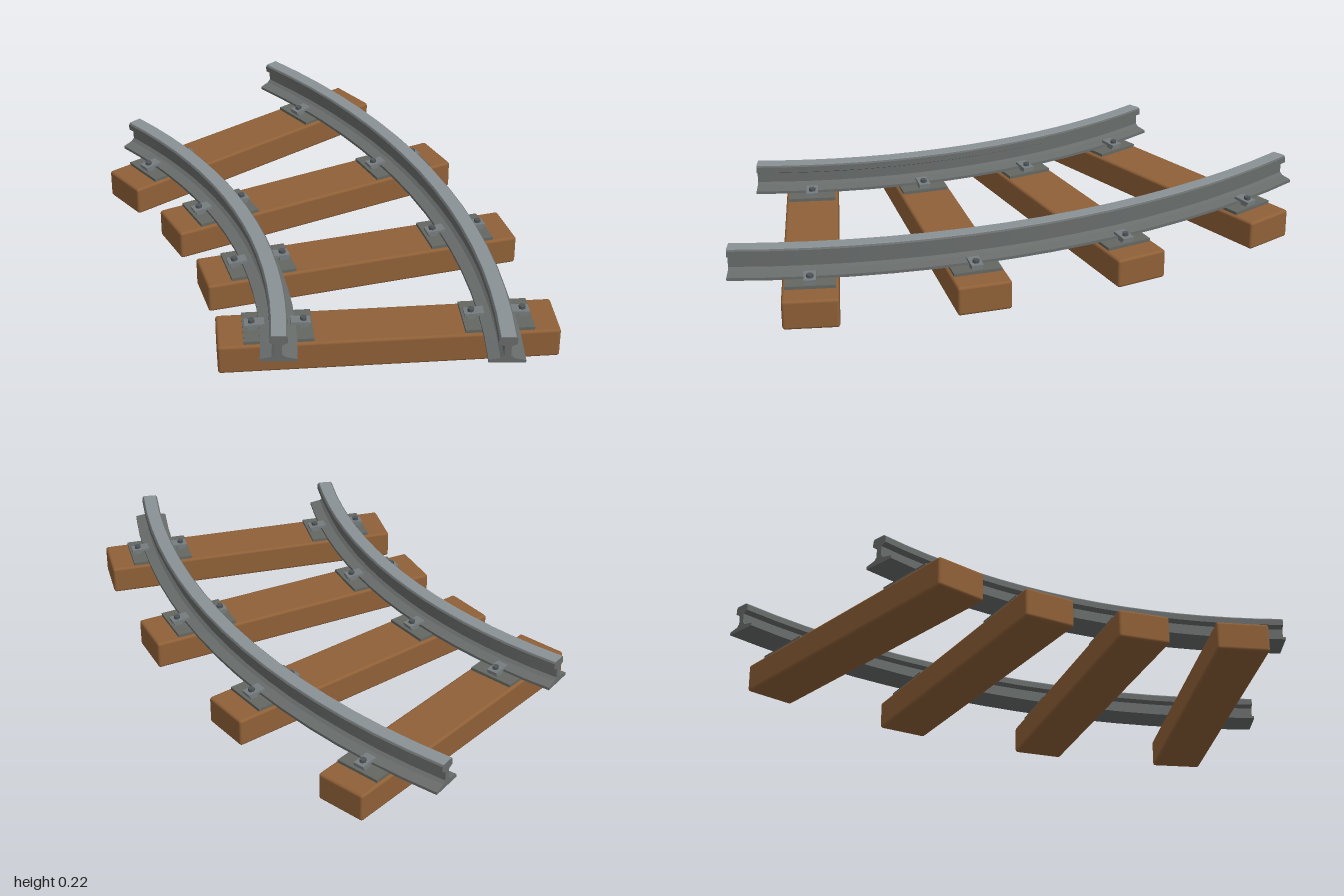
import * as THREE from 'three';
import { toCreasedNormals } from 'three/addons/utils/BufferGeometryUtils.js';
import { RoundedBoxGeometry } from 'three/addons/geometries/RoundedBoxGeometry.js';

const CENTER_X = -2.172, CENTER_Z = 1; // centre of the curve
const R_INNER = 2.043, R_OUTER = 2.77;
const SWEEP = Math.PI / 4;

const material = (name, color) => {
  const m = new THREE.MeshStandardMaterial({ color });
  m.name = name;
  return m;
};

// Extrude a mirrored half profile [offset, y], then bend it round the curve
function bentBar(half, radius) {
  const pts = [...half, ...half.slice().reverse().map(([x, y]) => [-x, y])];
  const shape = new THREE.Shape(pts.map(([x, y]) => new THREE.Vector2(x, y)));
  const geo = new THREE.ExtrudeGeometry(shape, { depth: 1, steps: 16, bevelEnabled: false });
  const p = geo.attributes.position;
  for (let i = 0; i < p.count; i++) {
    const r = radius + p.getX(i), a = (1 - p.getZ(i)) * SWEEP;
    p.setXYZ(i, CENTER_X + r * Math.cos(a), p.getY(i), CENTER_Z - r * Math.sin(a));
  }
  return toCreasedNormals(geo, 0.2);
}

export function createModel() {
  const wood = material('wood', 0x8f6037);
  const steel = material('rail steel', 0x686c6b);
  const polished = material('polished rail top', 0x8a9196);
  const iron = material('plate iron', 0x646762);
  const clipSteel = material('clip steel', 0x767c7e);
  const boltSteel = material('bolt steel', 0x50565a);

  const track = new THREE.Group();
  track.name = 'curvedTrack';
  const add = (parent, name, geo, mat, x = 0, y = 0, z = 0) => {
    const mesh = new THREE.Mesh(geo, mat);
    mesh.name = name;
    mesh.position.set(x, y, z);
    parent.add(mesh);
    return mesh;
  };

  // Rails: foot, thin web and chamfered head
  const railProfile = [[0.06, 0.115], [0.06, 0.125], [0.022, 0.133], [0.011, 0.143],
    [0.011, 0.178], [0.03, 0.187], [0.03, 0.208], [0.025, 0.213]];
  const crownProfile = [[0.025, 0.213], [0.0235, 0.215]];
  for (const [side, radius] of [['inner', R_INNER], ['outer', R_OUTER]]) {
    add(track, side + 'Rail', bentBar(railProfile, radius), steel);
    add(track, side + 'RailTop', bentBar(crownProfile, radius), polished);
  }

  // Sleepers with plates, clips and bolts, set radially
  const sleeperGeo = new RoundedBoxGeometry(1.13, 0.105, 0.19, 2, 0.01);
  const plateGeo = new THREE.BoxGeometry(0.23, 0.012, 0.17);
  const clipGeo = new THREE.BoxGeometry(0.066, 0.01, 0.042);
  const heelGeo = new THREE.BoxGeometry(0.03, 0.014, 0.042);
  const boltGeo = new THREE.CylinderGeometry(0.012, 0.012, 0.012, 6);
  const mid = (R_INNER + R_OUTER) / 2;
  for (let i = 0; i < 4; i++) {
    const a = SWEEP * (i + 0.5) / 4;
    const g = new THREE.Group();
    g.name = 'sleeper' + (i + 1);
    g.position.set(CENTER_X + mid * Math.cos(a), 0, CENTER_Z - mid * Math.sin(a));
    g.rotation.y = a;
    track.add(g);
    add(g, 'woodenBeam', sleeperGeo, wood, 0, 0.0525, 0);
    for (const radius of [R_INNER, R_OUTER]) {
      const x = radius - mid;
      add(g, 'tiePlate', plateGeo, iron, x, 0.11, 0);
      for (const s of [-1, 1]) {
        add(g, 'clipHeel', heelGeo, clipSteel, x + s * 0.088, 0.122, 0);
        const clip = add(g, 'railClip', clipGeo, clipSteel, x + s * 0.076, 0.131, 0);
        clip.rotation.z = -s * 0.06;
        add(g, 'bolt', boltGeo, boltSteel, x + s * 0.086, 0.14, 0);
      }
    }
  }
  return track;
}
